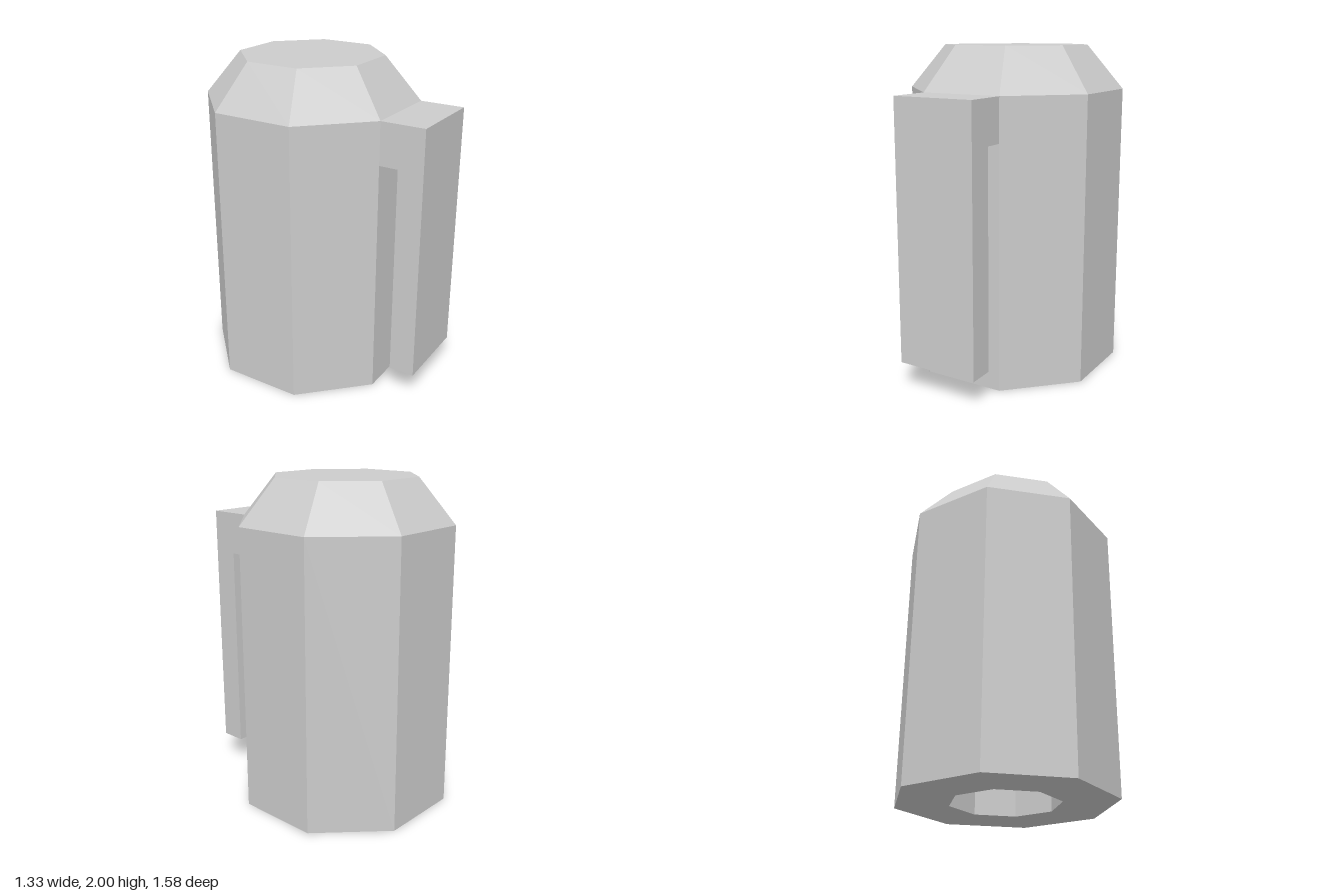
import * as THREE from 'three';

const SIDES = 8;
const RADIUS = 0.665;
const SHOULDER = 1.735;

export function createModel() {
  const group = new THREE.Group();
  const material = new THREE.MeshStandardMaterial({ color: 0xcccccc, flatShading: true });

  const body = new THREE.Group();
  body.position.z = -0.127;
  group.add(body);

  // Octagonal body: recessed base, straight wall, bevelled top
  const profile = [
    [0, 0.165], [0.333, 0.165], [0.333, 0], [RADIUS, 0],
    [RADIUS, SHOULDER], [0.443, 2], [0, 2],
  ].map(([r, y]) => new THREE.Vector2(r, y));
  const canister = new THREE.Mesh(new THREE.LatheGeometry(profile, SIDES), material);
  canister.name = 'canister';
  body.add(canister);

  // Hooked clip: a bridge at the shoulder and a plate hanging clear of one face
  const apothem = RADIUS * Math.cos(Math.PI / SIDES);
  const width = 2 * RADIUS * Math.sin(Math.PI / SIDES);
  const hook = new THREE.Shape([
    [0, 1.475], [0.117, 1.475], [0.117, 0.17],
    [0.275, 0.17], [0.275, SHOULDER], [0, SHOULDER],
  ].map(([u, y]) => new THREE.Vector2(apothem + u, y)));
  const clipGeometry = new THREE.ExtrudeGeometry(hook, { depth: width, bevelEnabled: false });
  clipGeometry.translate(0, 0, -width / 2);
  const clip = new THREE.Mesh(clipGeometry, material);
  clip.name = 'beltClip';
  clip.rotation.y = -Math.PI / 2 + Math.PI / SIDES;
  body.add(clip);

  return group;
}
